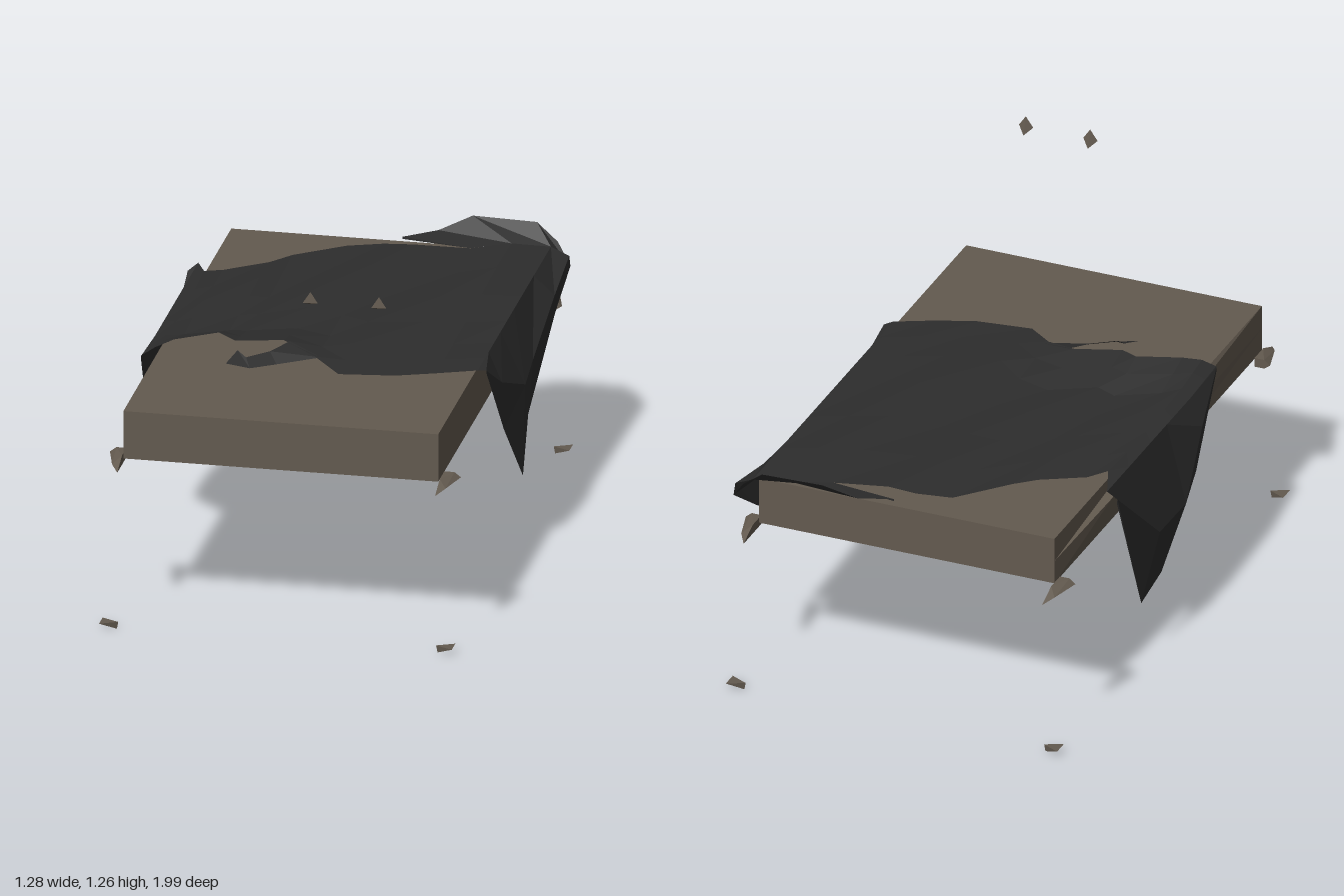
import * as THREE from 'three';
import { ConvexGeometry } from 'three/addons/geometries/ConvexGeometry.js';

const V = (x, y, z) => new THREE.Vector3(x, y, z);

// Sheet through rows of [x, y, z] points, all rows of equal length
function loft(rows) {
  const n = rows[0].length;
  const index = [];
  for (let r = 0; r < rows.length - 1; r++) {
    for (let c = 0; c < n - 1; c++) {
      const a = r * n + c, b = a + n;
      index.push(a, b, a + 1, a + 1, b, b + 1);
    }
  }
  const g = new THREE.BufferGeometry();
  g.setAttribute('position', new THREE.Float32BufferAttribute(rows.flat(2), 3));
  g.setIndex(index);
  g.computeVertexNormals();
  return g;
}

export function createModel() {
  const model = new THREE.Group();
  model.name = 'bed';
  const brown = new THREE.MeshStandardMaterial({ color: 0x635a4f, flatShading: true });
  brown.name = 'mattressBrown';
  const dark = new THREE.MeshStandardMaterial({ color: 0x2d2d2d, flatShading: true, side: THREE.DoubleSide });
  dark.name = 'blanketCharcoal';

  const add = (name, geometry, material, parent = model) => {
    const mesh = new THREE.Mesh(geometry, material);
    mesh.name = name;
    parent.add(mesh);
    return mesh;
  };

  // Mattress, with one side pushed out a little
  const box = new THREE.BoxGeometry(1.08, 0.17, 1.77, 1, 2, 2);
  box.translate(0, 0.675, 0.015);
  const p = box.attributes.position;
  for (let i = 0; i < p.count; i++) {
    const middle = Math.abs(p.getY(i) - 0.675) < 0.01 && Math.abs(p.getZ(i) - 0.015) < 0.01;
    if (middle && p.getX(i) < 0) p.setXYZ(i, -0.57, 0.71, -0.45);
  }
  box.computeVertexNormals();
  add('mattress', box, brown);

  // Corner brackets and floor feet at all four corners
  for (const sx of [-1, 1]) {
    for (const sz of [-1, 1]) {
      const dz = sz < 0 ? 0.01 : 0;
      const corner = (x, y, z) => V(sx * x, y, sz * (z + dz));
      add('cornerBracket', new ConvexGeometry([
        corner(0.545, 0.567, 0.825), corner(0.545, 0.6, 0.825),
        corner(0.545, 0.6, 0.9), corner(0.545, 0.567, 0.978),
        corner(0.58, 0.6, 0.825), corner(0.58, 0.567, 0.825),
        corner(0.602, 0.583, 0.825), corner(0.572, 0.58, 0.935),
      ]), brown);
      add('floorFoot', new ConvexGeometry([
        corner(0.605, 0.025, 0.93), corner(0.605, 0.025, 0.99),
        corner(0.545, 0.025, 0.96), corner(0.55, 0, 0.96),
      ]), brown);
    }
  }

  // Two small floating finials
  for (const x of [0.115, 0.35]) {
    add('finial', new ConvexGeometry([
      V(x, 1.262, 0.965), V(x - 0.026, 1.222, 0.968),
      V(x + 0.026, 1.224, 0.968), V(x - 0.005, 1.206, 0.932),
    ]), brown);
  }

  const blanket = new THREE.Group();
  blanket.name = 'blanket';
  model.add(blanket);

  // Blanket top: columns of [x, back z, front z, front edge height]
  const columns = [
    [-0.578, -0.51, 0.42, 0.78],
    [-0.535, -0.4, 0.4, 0.805],
    [-0.48, -0.45, 0.36, 0.822],
    [-0.34, -0.54, 0.29, 0.832],
    [-0.275, -0.61, 0.33, 0.822],
    [-0.12, -0.76, 0.28, 0.818],
    [0, -0.79, 0.34, 0.79],
    [0.1, -0.79, 0.435, 0.77],
    [0.29, -0.82, 0.41, 0.77],
    [0.42, -0.88, 0.36, 0.77],
    [0.55, -0.9, 0.3, 0.768],
  ];
  const steps = [0, 0.2, 0.4, 0.6, 0.78, 0.9, 1];
  add('blanketTop', loft(steps.map((v) => columns.map(([x, zb, zf, yf], c) => {
    const lift = Math.max(0, (v - 0.78) / 0.22);
    const edge = c === 0 || c === columns.length - 1;
    const wrinkle = edge ? 0 : 0.006 * Math.sin(c * 2.1 + v * 7) * (1 - lift);
    const base = edge ? 0.768 : 0.777;
    return [x, base + wrinkle + (yf - base) * lift, zb + (zf - zb) * v];
  }))), dark, blanket);

  // Right side drop: top edge, fold and hem
  add('rightDrape', loft([
    [[0.55, 0.768, 0.3], [0.55, 0.768, 0.12], [0.55, 0.768, -0.08], [0.55, 0.768, -0.3], [0.55, 0.768, -0.62], [0.55, 0.768, -0.9]],
    [[0.575, 0.762, 0.28], [0.6, 0.67, 0.14], [0.632, 0.58, -0.09], [0.62, 0.6, -0.27], [0.615, 0.69, -0.65], [0.613, 0.74, -0.9]],
    [[0.575, 0.755, 0.28], [0.6, 0.49, 0.11], [0.636, 0.275, -0.03], [0.57, 0.27, -0.27], [0.595, 0.59, -0.76], [0.615, 0.7, -0.91]],
  ]), dark, blanket);

  // Left side drop
  add('leftDrape', loft([
    [[-0.578, 0.78, 0.42], [-0.578, 0.768, 0.2], [-0.578, 0.768, 0], [-0.578, 0.768, -0.25], [-0.578, 0.768, -0.51]],
    [[-0.58, 0.777, 0.42], [-0.622, 0.67, 0.2], [-0.64, 0.47, 0.02], [-0.638, 0.47, -0.2], [-0.612, 0.74, -0.5]],
    [[-0.58, 0.765, 0.42], [-0.625, 0.53, 0.14], [-0.605, 0.265, -0.11], [-0.6, 0.225, -0.27], [-0.605, 0.72, -0.49]],
  ]), dark, blanket);

  // Upturned fold along the back edge
  add('backFold', loft([
    [[0.05, 0.772, -0.86], [0.29, 0.772, -0.82], [0.42, 0.777, -0.88], [0.55, 0.768, -0.9], [0.615, 0.7, -0.91]],
    [[0.05, 0.78, -0.86], [0.16, 0.79, -0.92], [0.27, 0.836, -0.96], [0.49, 0.83, -0.96], [0.565, 0.77, -0.945]],
  ]), dark, blanket);

  // Loose crumpled tip at the front edge
  add('frontTip', loft([
    [[-0.28, 0.79, 0.465], [-0.2, 0.775, 0.455], [-0.12, 0.775, 0.4], [0.02, 0.785, 0.33]],
    [[-0.255, 0.812, 0.39], [-0.22, 0.8, 0.42], [-0.15, 0.805, 0.36], [-0.1, 0.815, 0.28]],
  ]), dark, blanket);

  return model;
}
